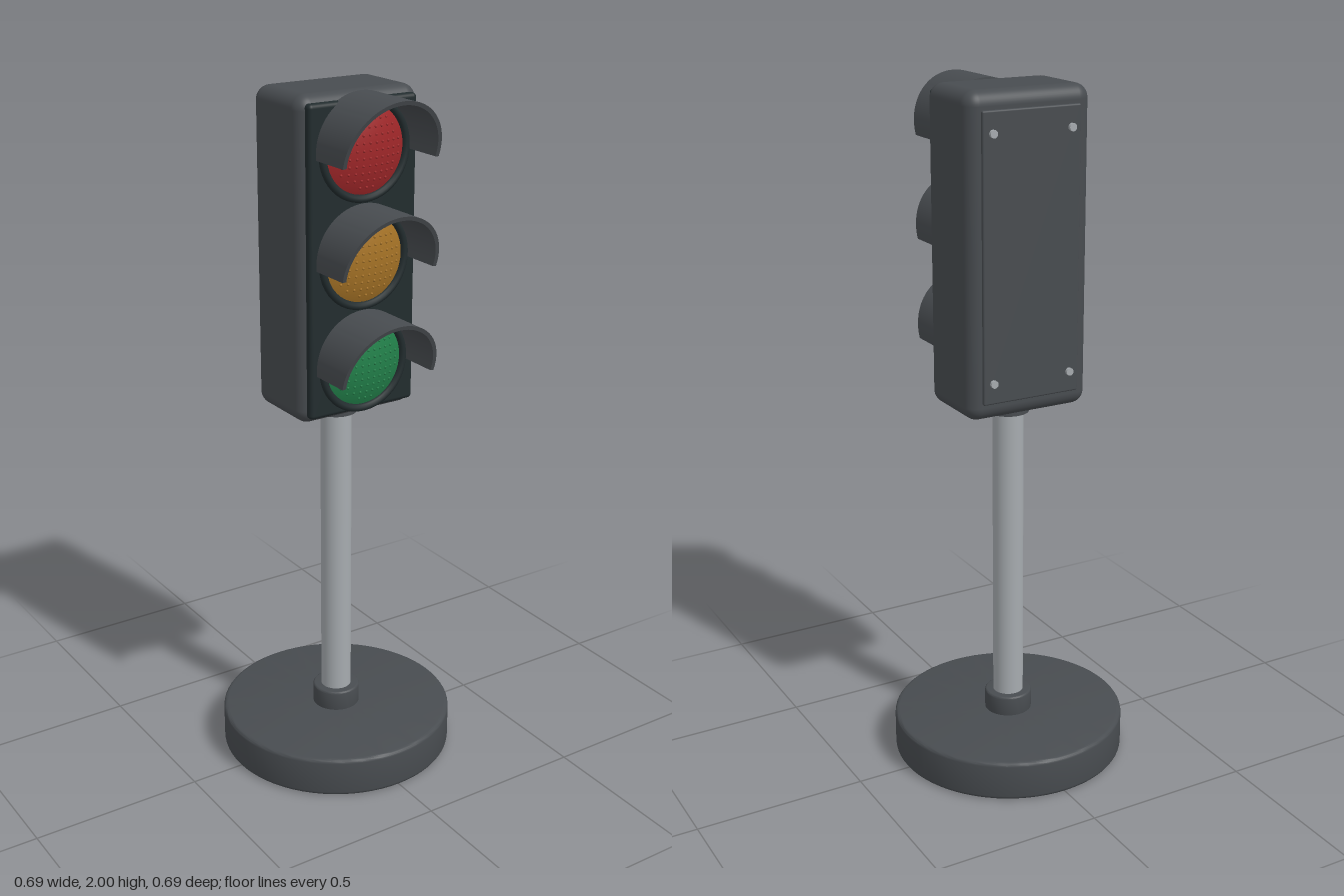
import * as THREE from 'three';
import { mergeGeometries, toCreasedNormals } from 'three/addons/utils/BufferGeometryUtils.js';
import { RoundedBoxGeometry } from 'three/addons/geometries/RoundedBoxGeometry.js';

const material = (name, color) => {
  const m = new THREE.MeshStandardMaterial({ color });
  m.name = name;
  return m;
};

// Round solid turned about y, with softened top and bottom rims
function roundedDisc(radius, y0, y1, bevel, segments) {
  const pts = [new THREE.Vector2(0, y0)];
  for (let i = 0; i <= 4; i++) {
    const a = (i / 4) * Math.PI / 2;
    pts.push(new THREE.Vector2(radius - bevel + bevel * Math.sin(a), y0 + bevel - bevel * Math.cos(a)));
  }
  for (let i = 0; i <= 4; i++) {
    const a = (i / 4) * Math.PI / 2;
    pts.push(new THREE.Vector2(radius - bevel + bevel * Math.cos(a), y1 - bevel + bevel * Math.sin(a)));
  }
  pts.push(new THREE.Vector2(0, y1));
  return new THREE.LatheGeometry(pts, segments);
}

// Half-round hood whose front edge slopes back towards the bottom
function visorGeometry() {
  const outer = 0.15, inner = 0.139, drop = 0.1, depth = 0.195;
  const shape = new THREE.Shape();
  shape.absarc(0, 0, outer, -drop, Math.PI + drop, false);
  shape.absarc(0, 0, inner, Math.PI + drop, -drop, true);
  shape.closePath();
  const geo = new THREE.ExtrudeGeometry(shape, { depth, bevelEnabled: false, curveSegments: 28 });
  const p = geo.attributes.position;
  for (let i = 0; i < p.count; i++) {
    if (p.getZ(i) > depth / 2) p.setZ(i, depth - (outer - p.getY(i)) * 0.333);
  }
  return toCreasedNormals(geo, 0.6);
}

// Shallow dome facing +z
const LENS_R = 0.125, SAG = 0.03;
const DOME_R = (LENS_R ** 2 + SAG ** 2) / (2 * SAG);
function lensGeometry() {
  const geo = new THREE.SphereGeometry(DOME_R, 40, 8, 0, Math.PI * 2, 0, Math.asin(LENS_R / DOME_R));
  return geo.rotateX(Math.PI / 2).translate(0, 0, SAG - DOME_R);
}

// Grid of tiny bumps following the dome
function bumpGeometry() {
  const bumps = [], step = 0.02;
  for (let i = -5; i <= 5; i++) {
    for (let j = -5; j <= 5; j++) {
      const x = i * step, y = j * step, r = Math.hypot(x, y);
      if (r > 0.106) continue;
      const z = Math.sqrt(DOME_R ** 2 - r * r) - DOME_R + SAG;
      bumps.push(new THREE.SphereGeometry(0.004, 8, 5).translate(x, y, z));
    }
  }
  return mergeGeometries(bumps);
}

export function createModel() {
  const model = new THREE.Group();
  model.name = 'trafficLight';
  const body = material('charcoal', 0x484c50);
  const face = material('dark face', 0x222c2e);
  const metal = material('grey metal', 0xa6abaf);

  const add = (parent, name, geo, mat, x = 0, y = 0, z = 0) => {
    const mesh = new THREE.Mesh(geo, mat);
    mesh.name = name;
    mesh.position.set(x, y, z);
    parent.add(mesh);
    return mesh;
  };

  // Stand
  add(model, 'base', toCreasedNormals(roundedDisc(0.345, 0, 0.12, 0.012, 72), 0.5), body);
  add(model, 'poleSocket', toCreasedNormals(roundedDisc(0.07, 0.11, 0.18, 0.006, 40), 0.5), body);
  add(model, 'pole', new THREE.CylinderGeometry(0.045, 0.045, 0.96, 40), metal, 0, 0.63);
  add(model, 'poleCollar', new THREE.CylinderGeometry(0.06, 0.06, 0.035, 40), body, 0, 1.0925);

  // Signal head
  add(model, 'housing', new RoundedBoxGeometry(0.38, 0.9, 0.245, 6, 0.04), body, 0, 1.55, -0.0025);
  add(model, 'frontPlate', new RoundedBoxGeometry(0.34, 0.86, 0.03, 4, 0.012), face, 0, 1.55, 0.12);
  add(model, 'backPanel', new RoundedBoxGeometry(0.3, 0.8, 0.02, 3, 0.005), body, 0, 1.55, -0.123);

  // Back panel screws
  const screwGeo = new THREE.CylinderGeometry(0.011, 0.011, 0.014, 16).rotateX(Math.PI / 2);
  for (const x of [-0.12, 0.12]) {
    for (const y of [1.21, 1.89]) add(model, 'screw', screwGeo, metal, x, y, -0.135);
  }

  // Three lights, each with bezel, domed lens, bumps and hood
  const visorGeo = visorGeometry();
  const lensGeo = lensGeometry();
  const bumpGeo = bumpGeometry();
  const bezelGeo = new THREE.TorusGeometry(0.132, 0.011, 10, 48);
  const lights = [
    ['red', 0xa02729, 1.85],
    ['amber', 0xa67326, 1.555],
    ['green', 0x22804a, 1.26],
  ];
  for (const [name, color, y] of lights) {
    const light = new THREE.Group();
    light.name = name + 'Light';
    light.position.set(0, y, 0.135);
    model.add(light);
    const glass = material(name + ' glass', color);
    add(light, 'bezel', bezelGeo, face, 0, 0, 0.002);
    add(light, 'lens', lensGeo, glass);
    add(light, 'lensBumps', bumpGeo, glass);
    add(light, 'visor', visorGeo, body, 0, 0, -0.015);
  }
  return model;
}
